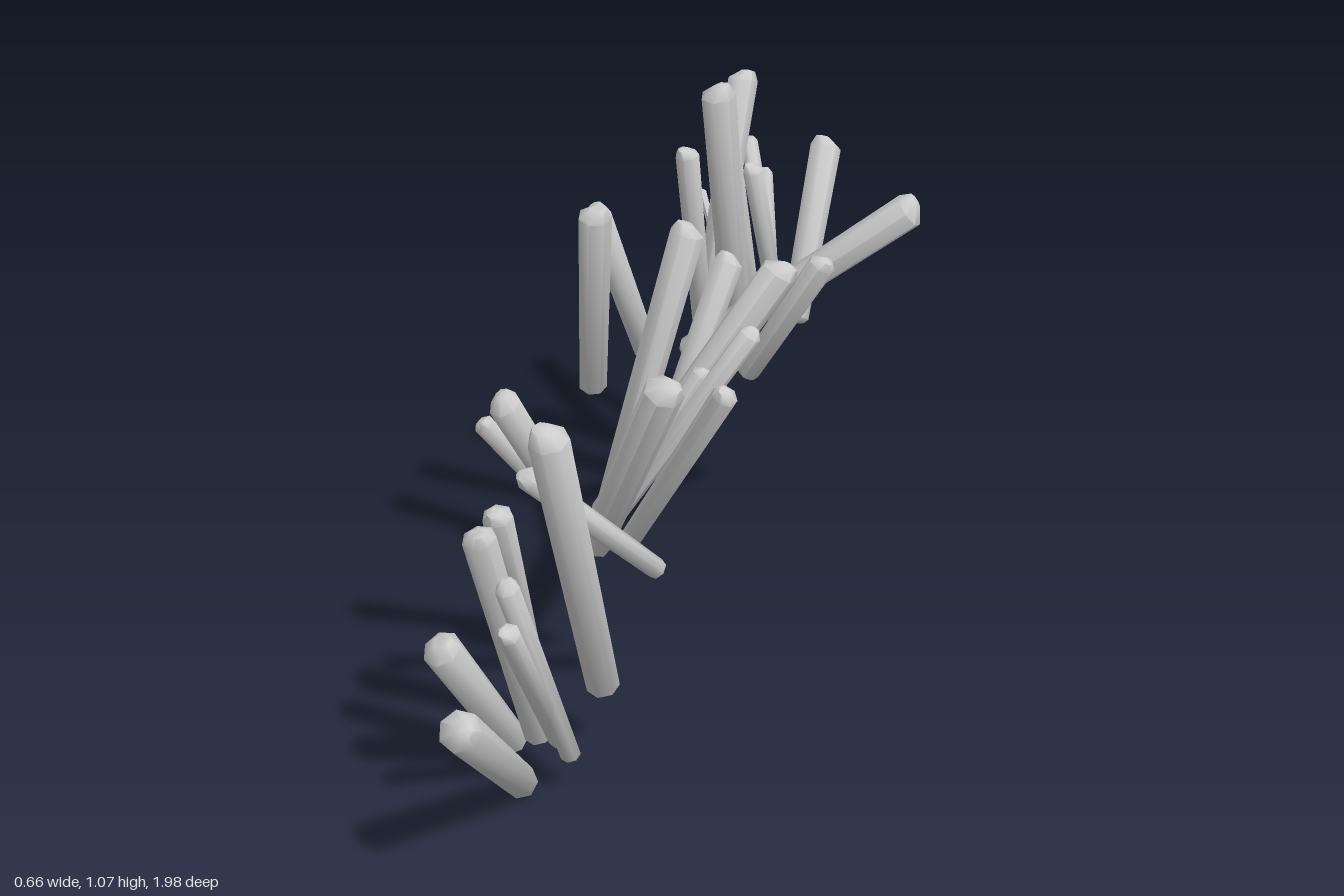
import * as THREE from 'three';
import { toCreasedNormals } from 'three/addons/utils/BufferGeometryUtils.js';

const material = new THREE.MeshStandardMaterial({ color: 0xcccccc });
const UP = new THREE.Vector3(0, 1, 0);

// One prism-like column from base to tip, slightly tapered, with a bevelled foot and a lopsided bevelled head
function crystal([bx, by, bz, tx, ty, tz, r], index) {
  const base = new THREE.Vector3(bx, by, bz);
  const axis = new THREE.Vector3(tx, ty, tz).sub(base);
  const length = axis.length();
  const profile = [
    [0, 0], [0.6 * r, 0], [0.86 * r, 0.25 * r],
    [r, length - 0.6 * r], [0.45 * r, length], [0, length + 0.08 * r],
  ].map(([x, y]) => new THREE.Vector2(x, y));
  let geometry = new THREE.LatheGeometry(profile, 7);

  // push the head off centre so that one shoulder is longer
  const p = geometry.attributes.position;
  const turn = index * 2.4;
  for (let i = 0; i < p.count; i++) {
    if (p.getY(i) > length - 0.1 * r) {
      p.setX(i, p.getX(i) + 0.28 * r * Math.cos(turn));
      p.setZ(i, p.getZ(i) + 0.28 * r * Math.sin(turn));
    }
  }
  geometry = toCreasedNormals(geometry, 0.96);

  const mesh = new THREE.Mesh(geometry, material);
  mesh.name = 'crystal' + (index + 1);
  mesh.position.copy(base);
  mesh.quaternion.setFromUnitVectors(UP, axis.normalize());
  return mesh;
}

function cluster(name, rows) {
  const group = new THREE.Group();
  group.name = name;
  rows.forEach((row, i) => group.add(crystal(row, i)));
  return group;
}

export function createModel() {
  const model = new THREE.Group();
  model.name = 'crystalRidge';

  // each row: base x y z, tip x y z, radius
  model.add(cluster('frontCluster', [
    [-0.165, 0.03, 0.58, -0.11, 0.39, 0.98, 0.037],
    [-0.11, 0.1, 0.53, -0.075, 0.5, 0.84, 0.021],
    [-0.075, 0.09, 0.56, -0.125, 0.52, 0.72, 0.022],
    [-0.16, 0.08, 0.5, -0.19, 0.59, 0.68, 0.031],
    [-0.065, 0.15, 0.41, -0.07, 0.78, 0.65, 0.037],
    [-0.21, 0.06, 0.5, -0.265, 0.37, 0.7, 0.036],
    [-0.21, 0.22, 0.42, -0.195, 0.58, 0.58, 0.028],
  ]));

  model.add(cluster('frontMiddleCluster', [
    [-0.14, 0.35, 0.24, 0.07, 0.79, 0.43, 0.037],
    [-0.09, 0.34, 0.2, 0.165, 0.77, 0.385, 0.024],
    [-0.19, 0.36, 0.18, -0.27, 0.69, 0.36, 0.031],
    [-0.19, 0.35, 0.17, -0.32, 0.63, 0.34, 0.02],
    [-0.005, 0.33, 0.26, -0.17, 0.62, 0.51, 0.024],
  ]));

  model.add(cluster('middleCluster', [
    [-0.16, 0.36, 0.14, 0.17, 0.88, 0.03, 0.036],
    [-0.15, 0.37, 0.13, -0.015, 0.94, 0.035, 0.034],
    [-0.15, 0.34, 0.17, 0.13, 0.77, 0.1, 0.022],
    [-0.16, 0.33, 0.15, 0.04, 0.68, 0.1, 0.024],
  ]));

  model.add(cluster('scatteredCrystals', [
    [-0.283, 0.49, -0.16, -0.22, 0.93, -0.02, 0.033],
    [-0.1, 0.45, -0.08, -0.01, 0.79, -0.22, 0.031],
    [-0.23, 0.5, -0.35, -0.3, 0.85, -0.235, 0.03],
    [0, 0.5, -0.3, 0.17, 0.78, -0.275, 0.028],
    [-0.15, 0.5, -0.365, 0.32, 0.86, -0.415, 0.037],
  ]));

  model.add(cluster('backMiddleCluster', [
    [-0.085, 0.5, -0.52, -0.087, 1.08, -0.38, 0.036],
    [-0.165, 0.5, -0.53, -0.165, 0.93, -0.42, 0.025],
    [-0.12, 0.5, -0.53, -0.09, 0.84, -0.44, 0.02],
    [-0.11, 0.46, -0.7, -0.135, 0.89, -0.585, 0.034],
    [-0.04, 0.46, -0.7, -0.075, 0.85, -0.59, 0.022],
  ]));

  model.add(cluster('backCluster', [
    [-0.21, 0.46, -0.7, -0.175, 0.97, -0.87, 0.034],
    [-0.02, 0.44, -0.75, -0.01, 0.8, -0.97, 0.036],
    [-0.05, 0.45, -0.74, -0.165, 0.82, -0.87, 0.02],
    [-0.06, 0.45, -0.72, -0.12, 0.76, -0.84, 0.02],
    [-0.16, 0.46, -0.74, -0.26, 0.7, -0.83, 0.009],
  ]));

  return model;
}
